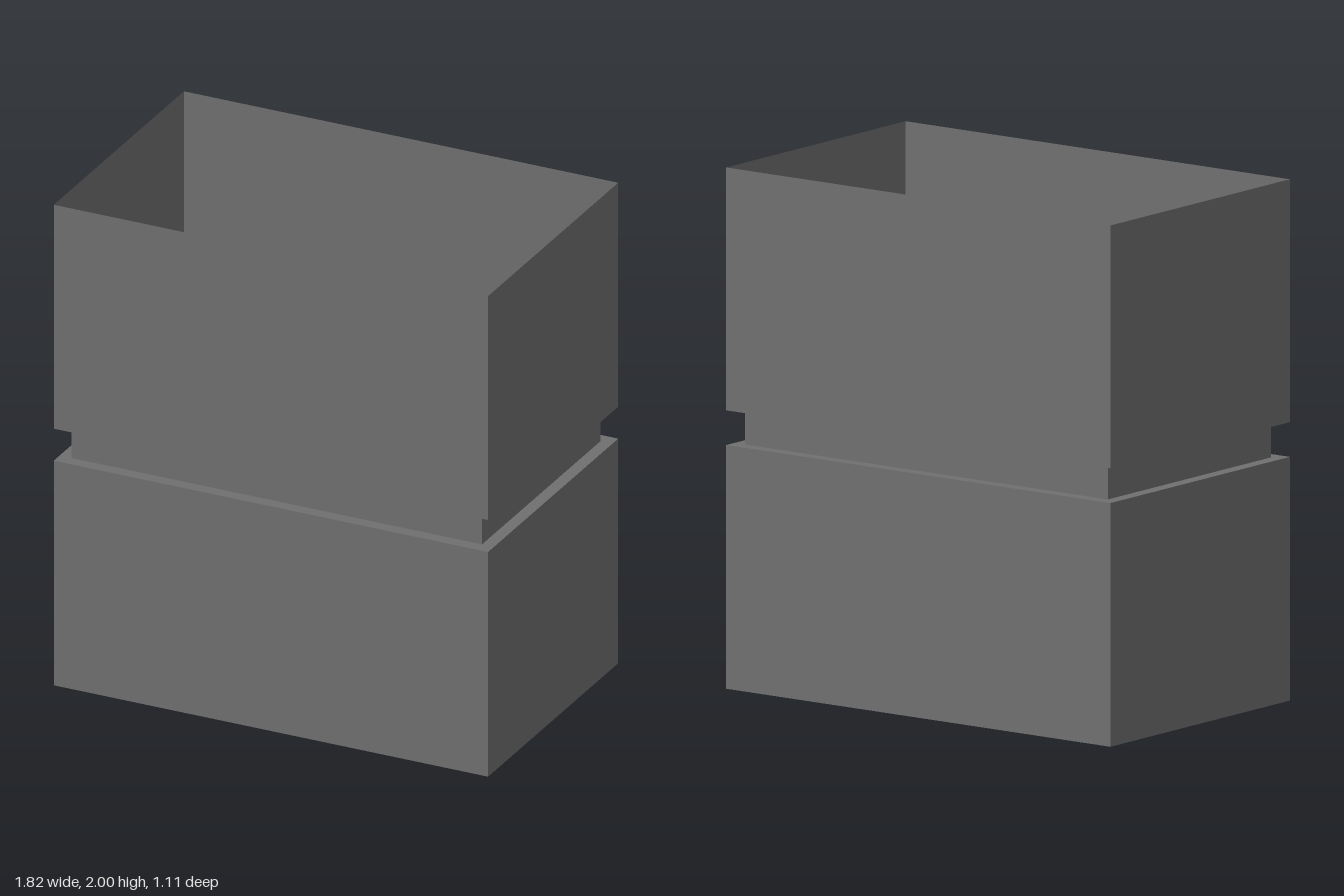
import * as THREE from 'three';

const OUTER = [0.91, 0.555];  // half width, half depth of the sleeves
const INNER = [0.86, 0.505];  // half width, half depth of the recessed neck
const LOW = 0.935, HIGH = 1.068, TOP = 2;

// Four flat panels joining two rectangular rings, lower ring first
function band([w0, d0], y0, [w1, d1], y1) {
  const corners = [[1, 1], [1, -1], [-1, -1], [-1, 1]];
  const positions = [];
  corners.forEach(([ax, az], i) => {
    const [bx, bz] = corners[(i + 1) % 4];
    const a0 = [ax * w0, y0, az * d0], b0 = [bx * w0, y0, bz * d0];
    const a1 = [ax * w1, y1, az * d1], b1 = [bx * w1, y1, bz * d1];
    positions.push(...a0, ...b0, ...b1, ...a0, ...b1, ...a1);
  });
  const geometry = new THREE.BufferGeometry();
  geometry.setAttribute('position', new THREE.Float32BufferAttribute(positions, 3));
  geometry.computeVertexNormals();
  return geometry;
}

export function createModel() {
  const group = new THREE.Group();
  group.name = 'openSleeve';
  const grey = new THREE.MeshStandardMaterial({ color: 0x707070, side: THREE.DoubleSide });
  grey.name = 'grey';

  // Thin open tube with a recessed band round the middle
  const parts = {
    lowerSleeve: band(OUTER, 0, OUTER, LOW),
    lowerLedge: band(OUTER, LOW, INNER, LOW),
    neck: band(INNER, LOW, INNER, HIGH),
    upperLedge: band(INNER, HIGH, OUTER, HIGH),
    upperSleeve: band(OUTER, HIGH, OUTER, TOP),
  };
  for (const [name, geometry] of Object.entries(parts)) {
    const mesh = new THREE.Mesh(geometry, grey);
    mesh.name = name;
    group.add(mesh);
  }
  return group;
}
